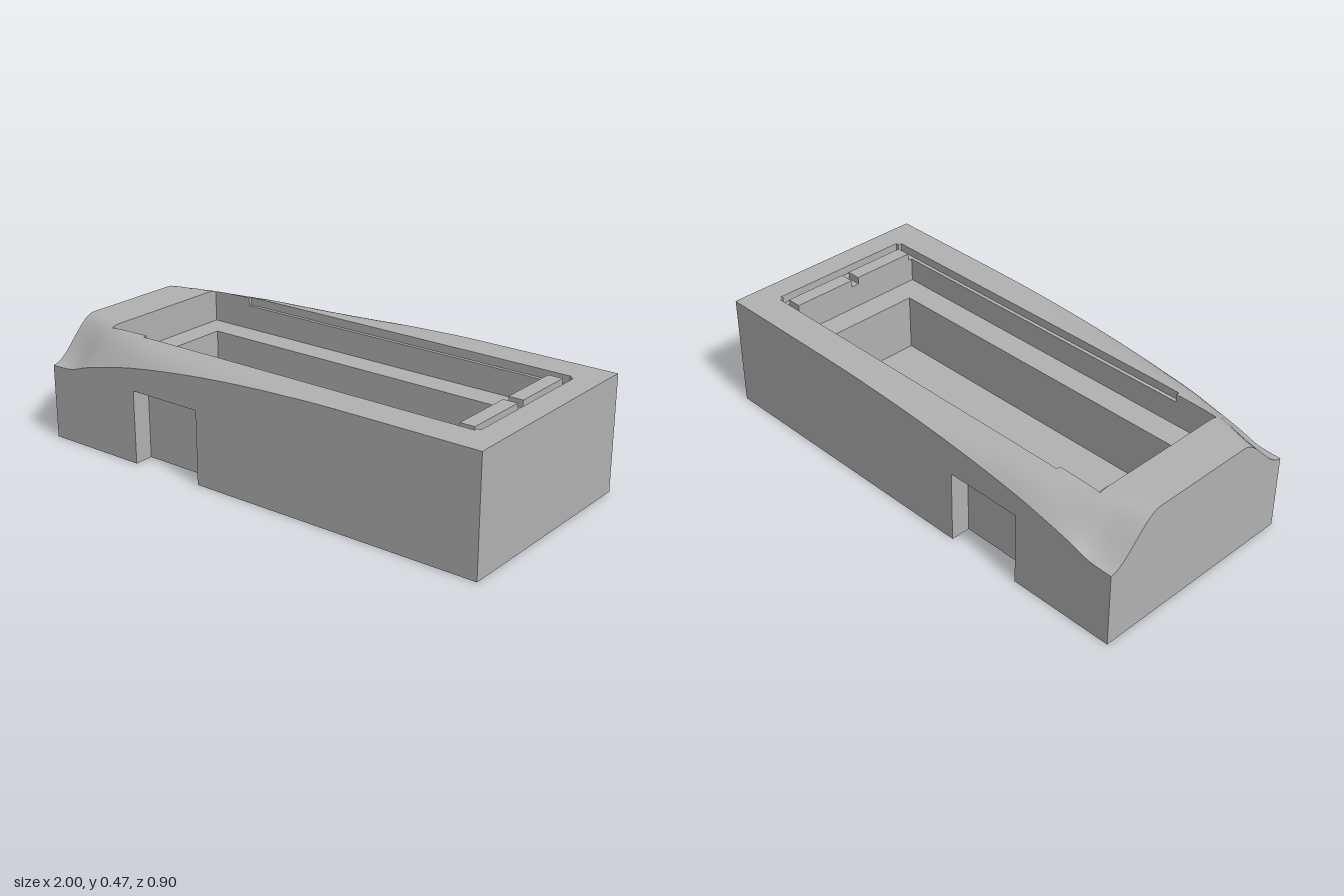
import * as THREE from 'three';
import { mergeGeometries } from 'three/addons/utils/BufferGeometryUtils.js';

const TOP = 0.469, SHELF = 0.435, LEDGE = 0.335, BASE = 0.3, FLOOR = 0.1;
const NOTCH = [-0.56, -0.24], NOTCH_Z = 0.37, W = 0.45;

// piecewise smooth lookup through [x, value] points
function curve(points) {
  const path = new THREE.SplineCurve(points.map(p => new THREE.Vector2(...p)));
  const pts = path.getPoints(120);
  return x => {
    for (let i = 1; i < pts.length; i++) {
      if (x <= pts[i].x) {
        const a = pts[i - 1], b = pts[i];
        return a.y + (b.y - a.y) * (x - a.x) / (b.x - a.x);
      }
    }
    return pts[pts.length - 1].y;
  };
}
const edgeHeight = curve([[-1, 0.305], [-0.9, 0.31], [-0.8, 0.34], [-0.6, 0.385], [-0.4, 0.415],
  [-0.2, 0.437], [0, 0.452], [0.2, 0.461], [0.4, 0.466], [1, 0.468]]);
const shoulder = curve([[-1, 0.22], [-0.8, 0.275], [-0.5, 0.295], [0, 0.32], [1, 0.36]]);

// height of the sculpted top: S-shaped at the low end, then a simple falling edge
function topHeight(x, z) {
  const z0 = shoulder(x);
  const t = Math.min(1, Math.max(0, (Math.abs(z) - z0) / (W - z0)));
  const mix = THREE.MathUtils.smoothstep(x, -1, -0.5);
  const s = (t * t * (3 - 2 * t)) * (1 - mix) + Math.pow(t, 2.5) * mix;
  return TOP - (TOP - edgeHeight(x)) * s;
}

// grid surface; its normal is dP/du x dP/dv
function sheet(nu, nv, fn) {
  const pos = [], idx = [];
  for (let i = 0; i <= nu; i++) {
    for (let j = 0; j <= nv; j++) pos.push(...fn(i / nu, j / nv));
  }
  for (let i = 0; i < nu; i++) {
    for (let j = 0; j < nv; j++) {
      const a = i * (nv + 1) + j, b = a + nv + 1;
      idx.push(a, b, b + 1, a, b + 1, a + 1);
    }
  }
  const g = new THREE.BufferGeometry();
  g.setAttribute('position', new THREE.Float32BufferAttribute(pos, 3));
  g.setIndex(idx);
  g.computeVertexNormals();
  return g;
}
const steps = d => Math.max(1, Math.ceil(Math.abs(d) / 0.02));
const lerp = THREE.MathUtils.lerp;

// upward curved patch, flat patch (up or down), and vertical walls along a path
const patch = (x0, x1, z0, z1) => sheet(steps(z1 - z0), steps(x1 - x0), (u, v) => {
  const x = lerp(x0, x1, v), z = lerp(z0, z1, u);
  return [x, topHeight(x, z), z];
});
const flat = (y, x0, x1, z0, z1, up = true) => sheet(1, 1, (u, v) => up
  ? [lerp(x0, x1, v), y, lerp(z0, z1, u)]
  : [lerp(x0, x1, u), y, lerp(z0, z1, v)]);
function walls(path, low, high) {
  return path.slice(1).map((b, i) => {
    const a = path[i];
    return sheet(steps(Math.hypot(b[0] - a[0], b[1] - a[1])), 1, (u, v) => {
      const x = lerp(a[0], b[0], u), z = lerp(a[1], b[1], u);
      return [x, v ? (high ?? topHeight(x, z)) : low, z];
    });
  });
}

// extruded slab with side notches and a rectangular opening
function slab(y0, y1, [x0, x1, z0, z1]) {
  const [n0, n1] = NOTCH, d = NOTCH_Z;
  const shape = new THREE.Shape([[-1, -W], [n0, -W], [n0, -d], [n1, -d], [n1, -W], [1, -W],
    [1, W], [n1, W], [n1, d], [n0, d], [n0, W], [-1, W]].map(p => new THREE.Vector2(...p)));
  // shape y becomes -z once laid flat
  shape.holes.push(new THREE.Path([[x0, -z1], [x0, -z0], [x1, -z0], [x1, -z1]]
    .map(p => new THREE.Vector2(...p))));
  const g = new THREE.ExtrudeGeometry(shape, { depth: y1 - y0, bevelEnabled: false });
  return g.rotateX(-Math.PI / 2).translate(0, y0, 0);
}

export function createModel() {
  const group = new THREE.Group();
  const grey = new THREE.MeshStandardMaterial({ color: 0xb2b2b2 });
  grey.name = 'plain grey';
  const add = (name, geometry) => {
    const mesh = new THREE.Mesh(Array.isArray(geometry) ? mergeGeometries(geometry) : geometry, grey);
    mesh.name = name;
    group.add(mesh);
  };

  // lower body: floor with cable opening, then the deep tray walls
  add('floorSlab', slab(0, FLOOR, [-0.69, -0.51, -0.11, 0.105]));
  add('trayBody', slab(FLOOR, BASE, [-0.71, 0.705, -0.197, 0.197]));
  add('notchRoofs', [flat(BASE, ...NOTCH, NOTCH_Z, W, false), flat(BASE, ...NOTCH, -W, -NOTCH_Z, false)]);

  // outer skin above the slabs
  add('outerWalls', walls([[-1, W], [1, W], [1, -W], [-1, -W], [-1, W]], BASE));

  // sculpted rim around the openings
  const rim = [patch(-1, -0.81, -W, W), patch(0.9, 1, -W, W)];
  for (const [x0, x1, z] of [[-0.81, -0.625, 0.303], [-0.625, 0.885, 0.318], [0.885, 0.9, 0.303]]) {
    rim.push(patch(x0, x1, z, W), patch(x0, x1, -W, -z));
  }
  add('rim', rim);

  // shallow lid recess: its walls and narrow shelf
  add('recessWalls', walls([[-0.625, -0.303], [-0.625, -0.318], [0.885, -0.318], [0.885, -0.303],
    [0.9, -0.303], [0.9, 0.303], [0.885, 0.303], [0.885, 0.318], [-0.625, 0.318], [-0.625, 0.303]]
    .reverse().map(([x, z]) => [x, -z]).reverse().map(([x, z]) => [x, -z]), SHELF).map(g => orientInward(g)));
  add('recessShelf', [
    flat(SHELF, -0.625, 0.805, 0.303, 0.318), flat(SHELF, -0.625, 0.805, -0.318, -0.303),
    flat(SHELF, 0.805, 0.885, -0.318, 0.318), flat(SHELF, 0.885, 0.9, -0.303, 0.303),
  ]);

  // two low blocks at the end of the recess
  for (const [name, z] of [['frontBlock', 0.15], ['backBlock', -0.155]]) {
    add(name, new THREE.BoxGeometry(0.06, 0.03, 0.27).translate(0.835, SHELF + 0.015, z));
  }

  // upper opening: full-height walls at the low end, shelf-height elsewhere
  add('openingWalls', [
    ...walls([[-0.625, 0.303], [-0.81, 0.303], [-0.81, -0.303], [-0.625, -0.303]], LEDGE),
    ...walls([[-0.625, -0.303], [0.805, -0.303], [0.805, 0.303], [-0.625, 0.303]], LEDGE, SHELF),
  ].map(g => orientInward(g)));

  // ledge and the top of the tray walls
  add('ledge', [
    flat(LEDGE, -0.81, -0.71, -0.303, 0.303), flat(LEDGE, 0.705, 0.805, -0.303, 0.303),
    flat(LEDGE, -0.71, 0.705, 0.197, 0.303), flat(LEDGE, -0.71, 0.705, -0.303, -0.197),
  ]);
  add('trayWalls', walls([[-0.71, 0.197], [-0.71, -0.197], [0.705, -0.197], [0.705, 0.197], [-0.71, 0.197]],
    BASE, LEDGE).map(g => orientInward(g)));
  return group;
}

// turn a wall so that it faces the middle of the opening
function orientInward(g) {
  const p = g.attributes.position, n = g.attributes.normal;
  if (p.getX(0) * n.getX(0) + p.getZ(0) * n.getZ(0) > 0) {
    g.setIndex([...g.index.array].reverse());
    g.computeVertexNormals();
  }
  return g;
}
